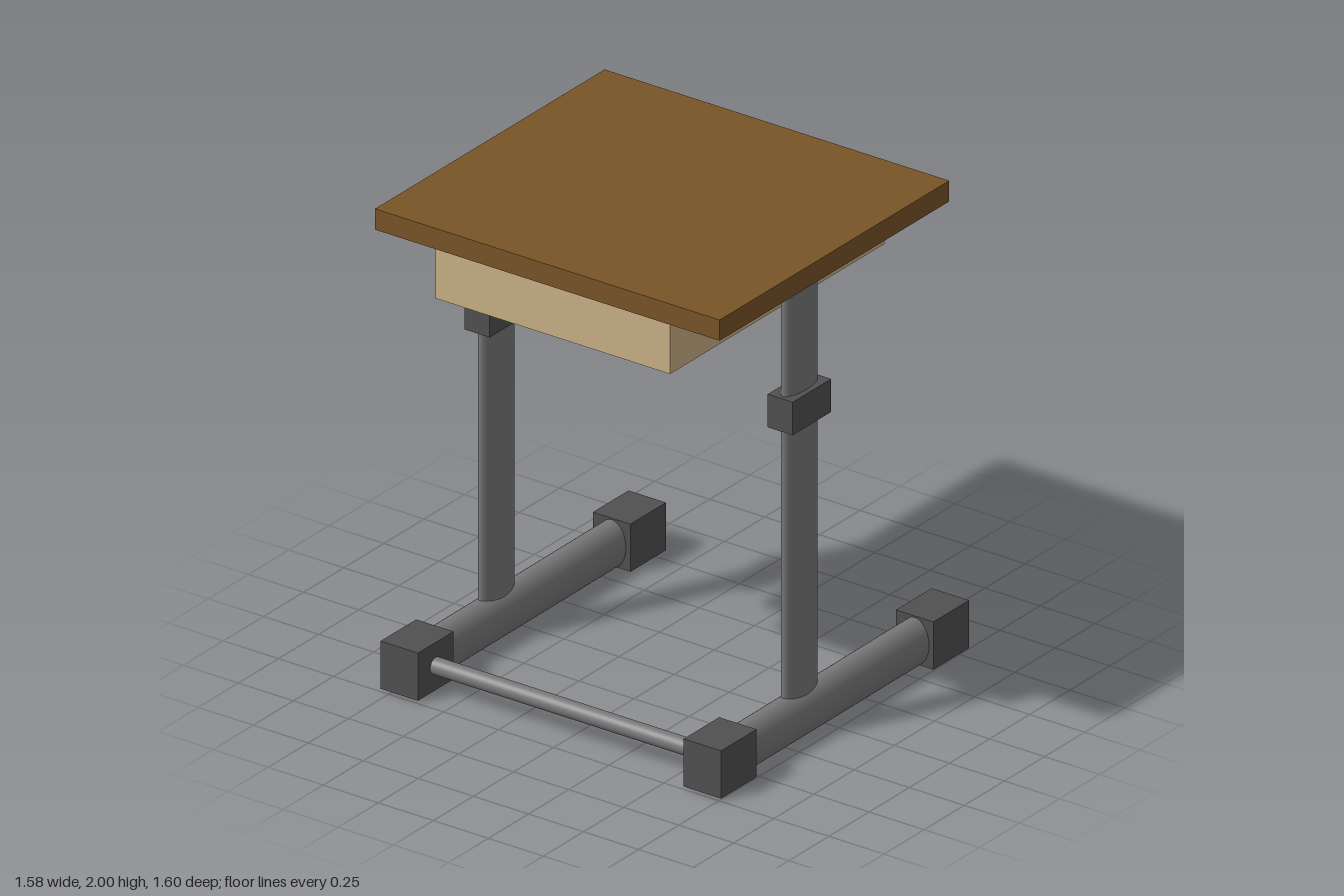
import * as THREE from 'three';

const material = (color) => new THREE.MeshStandardMaterial({ color });

export function createModel() {
  const desk = new THREE.Group();
  desk.name = 'desk';
  const topWood = material(0x785428);
  const paleWood = material(0xc9af85);
  const steel = material(0x777777);
  const plastic = material(0x505050);

  // Box given by its lower and upper bounds on each axis
  function box(name, mat, [x0, x1], [y0, y1], [z0, z1], parent = desk) {
    const mesh = new THREE.Mesh(new THREE.BoxGeometry(x1 - x0, y1 - y0, z1 - z0), mat);
    mesh.position.set((x0 + x1) / 2, (y0 + y1) / 2, (z0 + z1) / 2);
    mesh.name = name;
    parent.add(mesh);
  }

  // Oval tube along y, with radii across x and z
  function ovalTube(rx, rz, length) {
    return new THREE.CylinderGeometry(1, 1, length, 40).scale(rx, 1, rz);
  }

  function tube(name, geometry, x, y, z, parent = desk) {
    const mesh = new THREE.Mesh(geometry, steel);
    mesh.position.set(x, y, z);
    mesh.name = name;
    parent.add(mesh);
    return mesh;
  }

  // Table top and the storage box below it
  box('tableTop', topWood, [-0.775, 0.79], [1.915, 2], [-0.63, 0.8]);
  box('storageBox', paleWood, [-0.54, 0.525], [1.68, 1.915], [-0.59, 0.745]);

  // Two side frames: foot rail, end caps, oval post and height collar
  for (const [side, x] of [['right', -0.705], ['left', 0.671]]) {
    const frame = new THREE.Group();
    frame.name = side + 'Frame';
    desk.add(frame);

    tube('post', ovalTube(0.035, 0.103, 1.815), x, 1.0075, 0.14, frame);
    const rail = tube('footRail', ovalTube(0.065, 0.0965, 1.2), x, 0.1, -0.03, frame);
    rail.rotation.x = Math.PI / 2 + 0.004; // very slight slope towards the front

    box('collar', plastic, [x - 0.057, x + 0.057], [1.295, 1.43], [0.02, 0.26], frame);
    const capX = [x - 0.085, x + 0.085];
    box('frontCap', plastic, capX, [0.01, 0.205], [0.523, 0.745], frame);
    box('backCap', plastic, capX, [0.01, 0.205], [-0.8, -0.578], frame);
  }

  // Cross bar joining the front caps
  const bar = tube('crossBar', ovalTube(0.034, 0.034, 1.3), -0.017, 0.11, 0.635);
  bar.rotation.z = Math.PI / 2;

  return desk;
}
